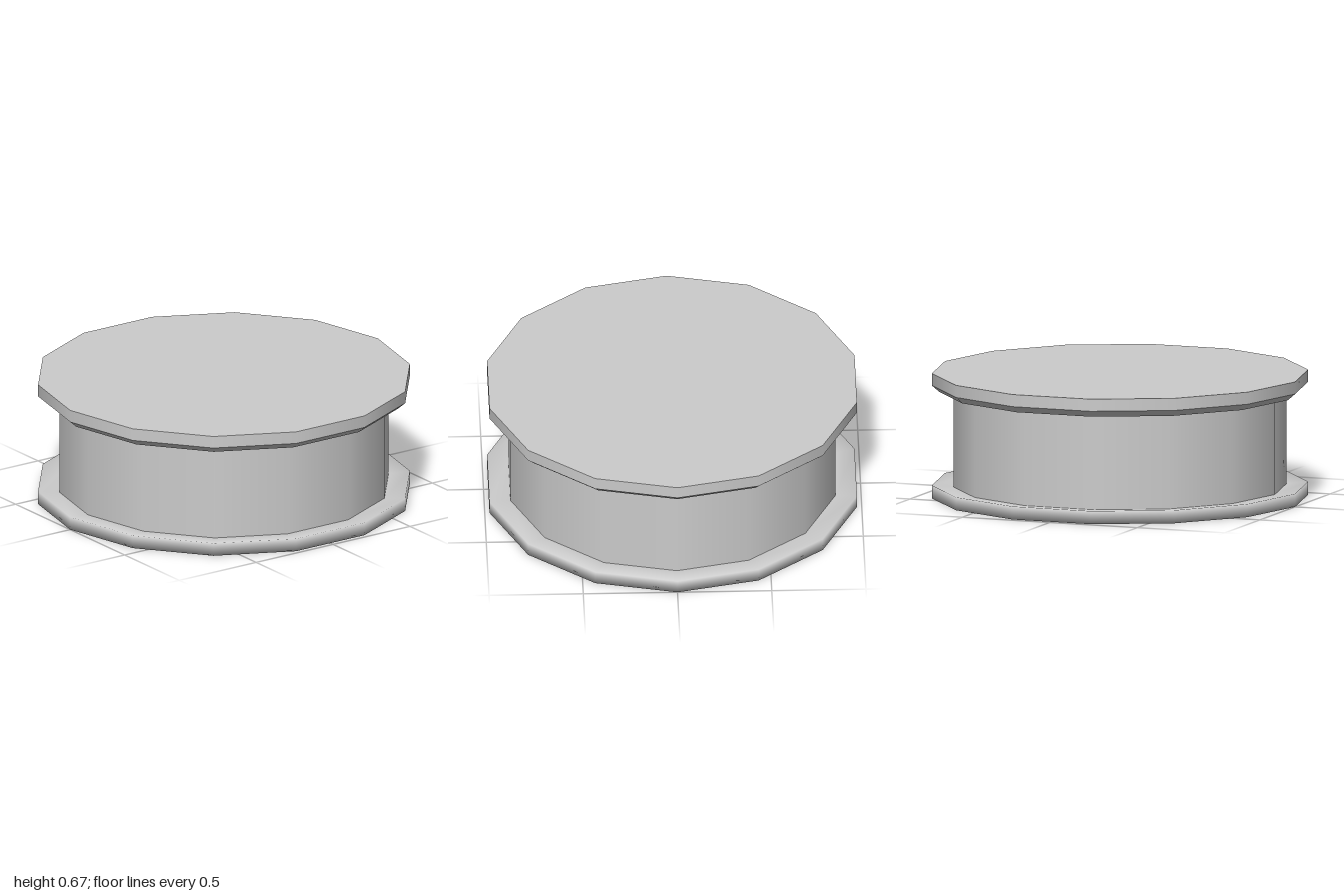
import * as THREE from 'three';

const SIDES = 14;
const material = new THREE.MeshStandardMaterial({ color: 0xcccccc });

// One turned band: smooth along its own profile, with a crease wherever the next band starts
function band(name, points) {
  const profile = points.map(([r, y]) => new THREE.Vector2(r, y));
  const mesh = new THREE.Mesh(new THREE.LatheGeometry(profile, SIDES, Math.PI / 2), material);
  mesh.name = name;
  return mesh;
}

function part(name, ...bands) {
  const group = new THREE.Group();
  group.name = name;
  group.add(...bands);
  return group;
}

export function createModel() {
  const R = 1, drumR = 0.885, top = 0.67;
  const model = new THREE.Group();
  model.name = 'spool';

  model.add(
    // Base flange: dished underside, softly shaded rim and a small recess in the middle
    part('baseFlange',
      band('baseRecess', [[0, 0.048], [drumR, 0.048]]),
      band('baseRecessWall', [[drumR, 0.048], [drumR, 0.035]]),
      band('baseRim', [[drumR, 0.035], [R, 0], [R, 0.07], [drumR, 0.06]])),

    // Straight drum between the flanges
    part('drum', band('drumWall', [[drumR, 0.06], [drumR, 0.57]])),

    // Top flange with a chamfered lower edge
    part('topFlange',
      band('topUnderside', [[drumR, 0.57], [0.96, 0.57]]),
      band('topChamfer', [[0.96, 0.57], [R, 0.605]]),
      band('topRim', [[R, 0.605], [R, top]]),
      band('topFace', [[R, top], [0, top]])),
  );
  return model;
}
